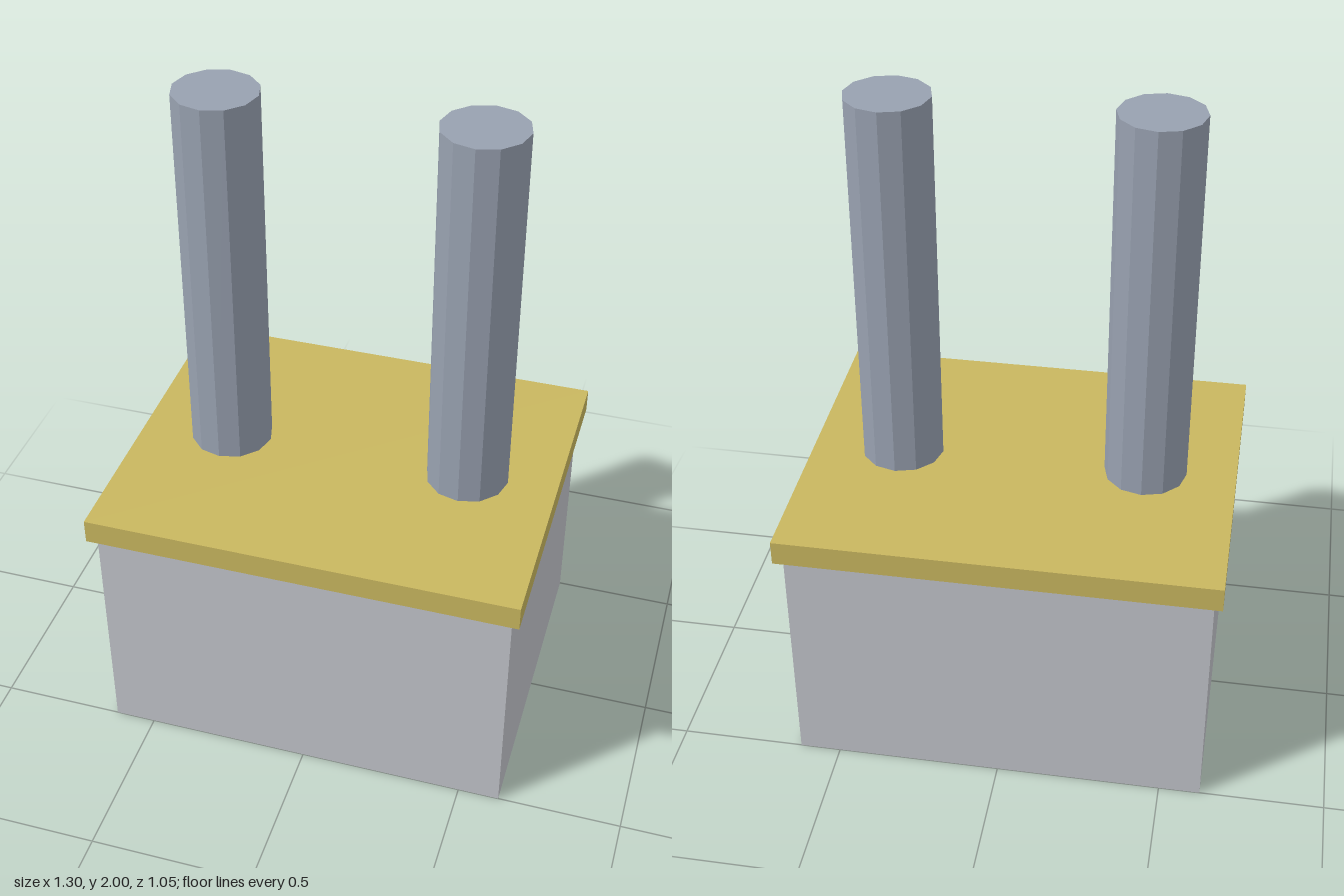
import * as THREE from 'three';

export function createModel() {
  const group = new THREE.Group();
  const material = (name, color) => {
    const m = new THREE.MeshStandardMaterial({ color });
    m.name = name;
    return m;
  };
  const paleGrey = material('pale grey', 0xc2c4ca);
  const ochre = material('ochre', 0xc9b75f);
  const steel = material('steel blue grey', 0x98a1b0);
  steel.flatShading = true;

  const add = (name, geometry, mat, x, y, z) => {
    const mesh = new THREE.Mesh(geometry, mat);
    mesh.name = name;
    mesh.position.set(x, y, z);
    group.add(mesh);
  };

  // Main block and overhanging flat roof
  add('body', new THREE.BoxGeometry(1.25, 0.75, 1), paleGrey, 0, 0.375, 0);
  add('roofSlab', new THREE.BoxGeometry(1.3, 0.075, 1.05), ochre, 0, 0.7875, 0);

  // Pair of twelve-sided chimneys standing on the roof
  const chimney = new THREE.CylinderGeometry(0.125, 0.125, 1.175, 12);
  for (const side of [-1, 1]) {
    add(side > 0 ? 'leftChimney' : 'rightChimney', chimney, steel, side * 0.375, 1.4125, 0);
  }
  return group;
}
